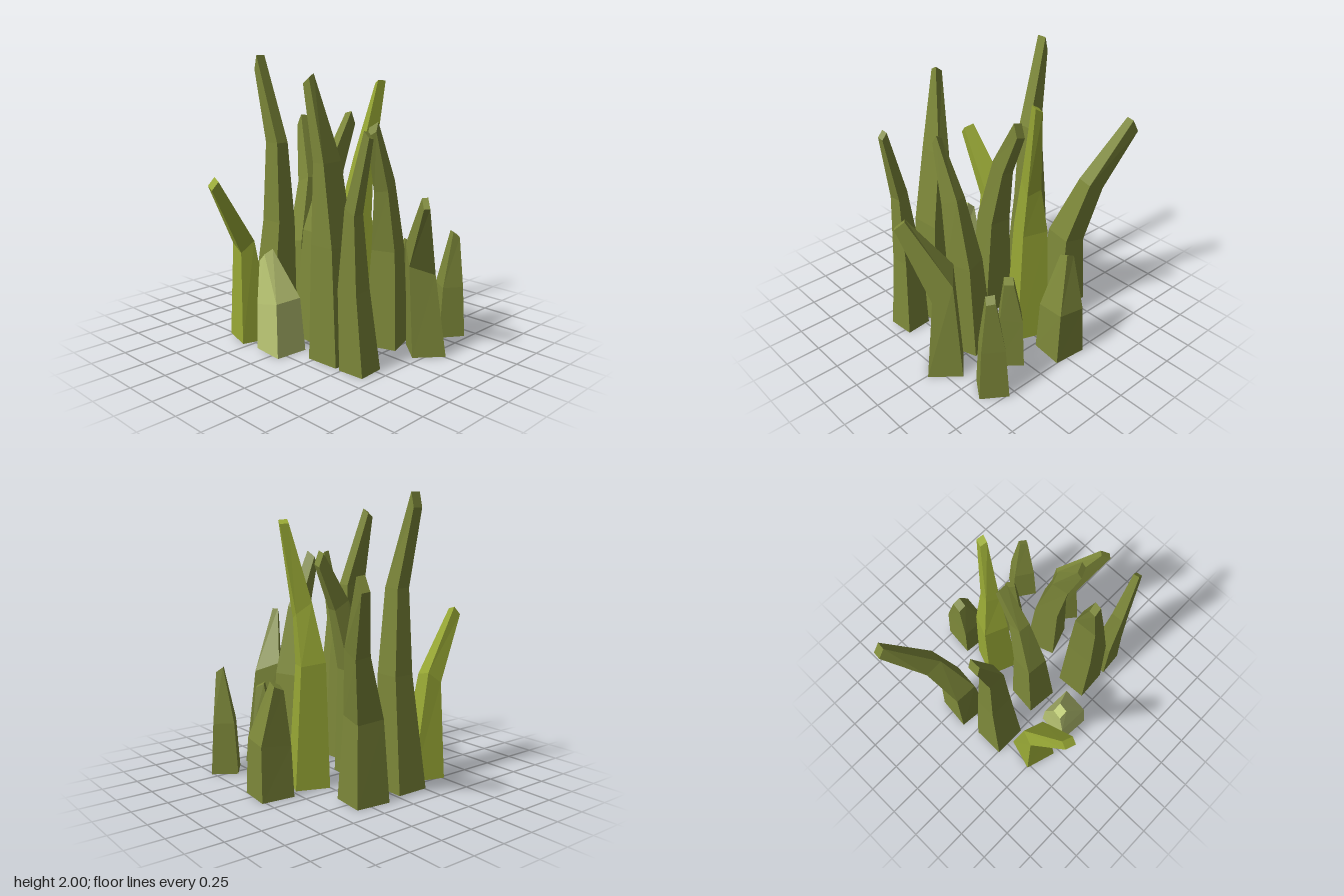
import * as THREE from 'three';

function mat(name, color) {
  const m = new THREE.MeshStandardMaterial({ color, flatShading: true, side: THREE.DoubleSide });
  m.name = name;
  return m;
}

// Four-sided blade, open at the bottom. Each section is
// [x, y, z, halfWidth, halfDepth, slopeX, slopeZ]; the slopes tilt its plane.
function blade(name, material, yaw, sections) {
  const c = Math.cos(yaw), s = Math.sin(yaw);
  const rings = sections.map(([x, y, z, w, d, sx = 0, sz = 0]) =>
    [[-1, -1], [-1, 1], [1, 1], [1, -1]].map(([a, b]) => {
      const dx = a * w * c - b * d * s, dz = a * w * s + b * d * c;
      return [x + dx, y + sx * dx + sz * dz, z + dz];
    }));
  const pos = [];
  const quad = (p, q, r, t) => pos.push(...p, ...q, ...r, ...p, ...r, ...t);
  for (let i = 0; i < rings.length - 1; i++) {
    for (let j = 0; j < 4; j++) {
      const k = (j + 1) % 4;
      quad(rings[i][j], rings[i][k], rings[i + 1][k], rings[i + 1][j]);
    }
  }
  quad(...rings[rings.length - 1]); // blunt tip
  const geo = new THREE.BufferGeometry();
  geo.setAttribute('position', new THREE.Float32BufferAttribute(pos, 3));
  geo.computeVertexNormals();
  const mesh = new THREE.Mesh(geo, material);
  mesh.name = name;
  return mesh;
}

export function createModel() {
  const group = new THREE.Group();
  group.name = 'grassClump';
  const olive = mat('oliveGreen', 0x7c8739);
  const bright = mat('brightGreen', 0x98a835);
  const pale = mat('paleGreen', 0xbcc875);
  const add = (...args) => group.add(blade(...args));

  // Short blades at the back
  add('backShortBlade', olive, 0.1, [
    [-0.04, 0, -0.645, 0.12, 0.118],
    [-0.04, 0.37, -0.645, 0.1, 0.11, 0.1, -0.1],
    [-0.1, 0.755, -0.62, 0.03, 0.035, 0.5, -0.4]]);
  add('backMiddleShortBlade', olive, 0.7, [
    [0.29, 0, -0.475, 0.098, 0.098],
    [0.285, 0.36, -0.48, 0.078, 0.075, 0.2, 0],
    [0.315, 0.67, -0.49, 0.032, 0.028, -0.3, 0.4]]);
  add('backLeftShortBlade', olive, 0.6, [
    [0.585, 0, -0.63, 0.1, 0.095],
    [0.59, 0.37, -0.63, 0.08, 0.075],
    [0.615, 0.75, -0.645, 0.03, 0.025, -0.5, 0.5]]);

  // Tall blades in the middle and back
  add('backBrightBlade', bright, 0.38, [
    [-0.03, 0, -0.32, 0.12, 0.12],
    [-0.05, 0.86, -0.315, 0.09, 0.085, -0.1, 0.1],
    [-0.01, 1.22, -0.35, 0.05, 0.055, -0.6, 0.5],
    [0.055, 1.81, -0.45, 0.024, 0.03, 0.5, 0.3]]);
  add('backRightBlade', olive, 0.1, [
    [-0.505, 0, -0.22, 0.12, 0.125],
    [-0.515, 0.57, -0.23, 0.085, 0.1, 0.2, 0.1],
    [-0.61, 1.02, -0.36, 0.065, 0.055, 0.4, 0.2],
    [-0.84, 1.465, -0.505, 0.027, 0.03, 1.7, 0.3]]);
  add('middleBlade', olive, 0.1, [
    [-0.04, 0, 0.1, 0.12, 0.115],
    [-0.045, 0.78, 0.065, 0.08, 0.085, 0, 0.1],
    [-0.025, 1.24, -0.055, 0.045, 0.055, 0, 0.6],
    [-0.02, 1.56, -0.217, 0.033, 0.018, 0, 2.6]]);
  add('innerLeftBlade', olive, -0.33, [
    [0.39, 0, -0.165, 0.12, 0.12],
    [0.41, 0.7, -0.15, 0.085, 0.09, 0, 0],
    [0.435, 1.15, -0.075, 0.05, 0.06, 0, -0.5],
    [0.445, 1.54, 0.06, 0.032, 0.016, 0, -2]]);
  add('outerLeftBlade', olive, 0.7, [
    [0.68, 0, -0.25, 0.12, 0.115],
    [0.65, 0.66, -0.21, 0.07, 0.09, -0.9, -0.3],
    [0.83, 1.1, -0.02, 0.035, 0.02, -0.6, -0.6]]);

  // Blades in the front
  add('tallestBlade', olive, 0, [
    [-0.47, 0, 0.14, 0.125, 0.12],
    [-0.445, 0.8, 0.1, 0.09, 0.075, 0, 0],
    [-0.445, 1.38, 0.11, 0.062, 0.05, 0, 0],
    [-0.583, 1.95, 0.145, 0.0125, 0.037, 4, 0]]);
  add('frontLeftTallBlade', olive, -0.06, [
    [0.325, 0, 0.29, 0.12, 0.12],
    [0.315, 0.8, 0.3, 0.09, 0.105, 0, 0],
    [0.275, 1.34, 0.305, 0.045, 0.085, 0, 0],
    [0.182, 1.87, 0.38, 0.026, 0.022, 0.7, -0.6]]);
  add('frontLeftOuterBlade', olive, -0.08, [
    [0.575, 0, 0.305, 0.095, 0.095],
    [0.545, 0.55, 0.335, 0.075, 0.07, 0, 0],
    [0.565, 1.07, 0.36, 0.038, 0.045, -0.6, 0],
    [0.67, 1.55, 0.345, 0.02, 0.022, -1, 0.3]]);
  add('frontPaleBlade', pale, 0.08, [
    [-0.04, 0, 0.445, 0.12, 0.118],
    [-0.055, 0.35, 0.45, 0.112, 0.1, 0.25, 0],
    [-0.15, 0.665, 0.475, 0.03, 0.035, 1, -0.3]]);
  add('frontRightBrightBlade', bright, 0.3, [
    [-0.375, 0, 0.43, 0.12, 0.12],
    [-0.395, 0.71, 0.475, 0.078, 0.05, 0, -0.8],
    [-0.372, 1.165, 0.737, 0.04, 0.024, 0.1, -1.2]]);
  return group;
}
